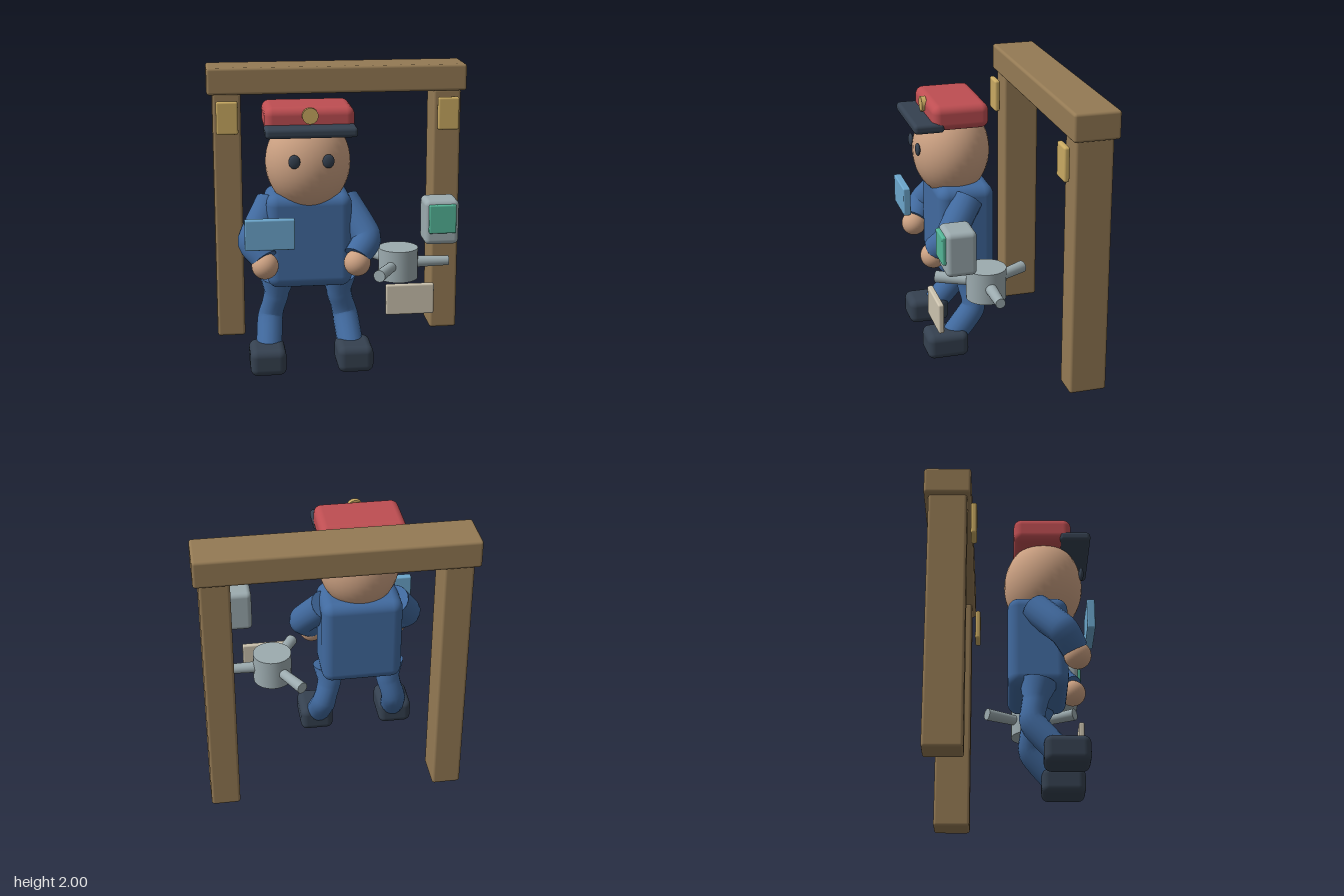
import * as THREE from 'three';
import { RoundedBoxGeometry } from 'three/addons/geometries/RoundedBoxGeometry.js';

const mat = (name, color, side = THREE.FrontSide) => {
  const m = new THREE.MeshStandardMaterial({ color, side });
  m.name = name;
  return m;
};

export function createModel() {
  const root = new THREE.Group();
  root.name = 'stationGuard';
  const wood = mat('wood', 0x947a54);
  const gold = mat('gold', 0xc9aa62);
  const red = mat('capRed', 0xbe4e52);
  const navy = mat('darkNavy', 0x354150);
  const skin = mat('skin', 0xcda283);
  const blue = mat('uniformBlue', 0x416a9f, THREE.DoubleSide);
  const sky = mat('cardBlue', 0x6ca6cc);
  const steel = mat('steel', 0x9cabaf);
  const teal = mat('screenTeal', 0x54b597);
  const paper = mat('paper', 0xcbc2ae);

  const add = (name, geo, material, x = 0, y = 0, z = 0, parent = root) => {
    const m = new THREE.Mesh(geo, material);
    m.name = name;
    m.position.set(x, y, z);
    parent.add(m);
    return m;
  };
  // Rounded box given by its bounds
  const box = (name, material, [x0, x1], [y0, y1], [z0, z1], r, parent = root) =>
    add(name, new RoundedBoxGeometry(x1 - x0, y1 - y0, z1 - z0, 4, r), material,
      (x0 + x1) / 2, (y0 + y1) / 2, (z0 + z1) / 2, parent);
  const ball = (name, material, x, y, z, rx, ry, rz, parent) =>
    add(name, new THREE.SphereGeometry(1, 32, 24), material, x, y, z, parent).scale.set(rx, ry, rz);

  // Tube whose radius follows a list of values, closed by discs
  const limb = (name, points, radii, parent) => {
    const curve = new THREE.CatmullRomCurve3(points.map(p => new THREE.Vector3(...p)), false, 'catmullrom', 0.3);
    const n = 20, sides = 16, v = new THREE.Vector3();
    const radiusAt = t => {
      const f = t * (radii.length - 1), i = Math.min(Math.floor(f), radii.length - 2);
      return THREE.MathUtils.lerp(radii[i], radii[i + 1], f - i);
    };
    const geo = new THREE.TubeGeometry(curve, n, 1, sides);
    const pos = geo.attributes.position;
    for (let i = 0; i <= n; i++) {
      const c = curve.getPointAt(i / n), r = radiusAt(i / n);
      for (let j = 0; j <= sides; j++) {
        const k = i * (sides + 1) + j;
        v.fromBufferAttribute(pos, k).sub(c).multiplyScalar(r).add(c);
        pos.setXYZ(k, v.x, v.y, v.z);
      }
    }
    add(name, geo, blue, 0, 0, 0, parent);
    for (const t of [0, 1]) {
      const c = curve.getPointAt(t), dir = curve.getTangentAt(t).multiplyScalar(t ? 1 : -1);
      const cap = add(name + 'End', new THREE.CircleGeometry(radiusAt(t), sides), blue, c.x, c.y, c.z, parent);
      cap.quaternion.setFromUnitVectors(new THREE.Vector3(0, 0, 1), dir);
    }
  };

  // Gate: two posts with plaques under a beam
  const gate = new THREE.Group();
  gate.name = 'gate';
  root.add(gate);
  box('beam', wood, [-0.925, 0.922], [1.81, 2], [-0.573, -0.257], 0.02, gate);
  for (const s of [-1, 1]) {
    const px = s * 0.787, qx = s * 0.787;
    box('post', wood, [px - 0.1, px + 0.1], [0.02, 1.82], [-0.543, -0.283], 0.02, gate);
    box('plaque', gold, [qx - 0.077, qx + 0.077], [1.535, 1.77], [-0.257, -0.217], 0.015, gate);
  }

  // Guard, built around its own centre line
  const guard = new THREE.Group();
  guard.name = 'guard';
  guard.position.x = -0.266;
  root.add(guard);
  box('torso', blue, [-0.288, 0.288], [0.585, 1.235], [-0.012, 0.39], 0.075, guard);
  ball('head', skin, 0, 1.44, 0.235, 0.287, 0.33, 0.27, guard);
  box('capCrown', red, [-0.298, 0.298], [1.66, 1.835], [0.03, 0.423], 0.055, guard);
  box('capVisor', navy, [-0.302, 0.302], [1.655, 1.722], [0.345, 0.555], 0.025, guard);
  add('capBadge', new THREE.CylinderGeometry(0.053, 0.053, 0.034, 32), gold, 0, 1.782, 0.428, guard)
    .rotation.x = Math.PI / 2;
  for (const s of [-1, 1]) {
    ball('eye', navy, s * 0.112, 1.492, 0.496, 0.039, 0.046, 0.017, guard);
    limb('arm', [[s * 0.25, 1.145, 0.18], [s * 0.385, 0.925, 0.35], [s * 0.31, 0.82, 0.43]],
      [0.108, 0.105, 0.102, 0.09], guard);
    ball('hand', skin, s * 0.31, 0.777, 0.445, 0.09, 0.09, 0.09, guard);
    limb('leg', [[s * 0.21, 0.62, 0.19], [s * 0.22, 0.48, 0.165], [s * 0.262, 0.32, 0.15], [s * 0.285, 0.12, 0.31]],
      [0.125, 0.088, 0.082, 0.09, 0.09, 0.088], guard);
    box('shoe', navy, [s * 0.298 - 0.122, s * 0.298 + 0.122], [0.005, 0.19], [0.217, 0.514], 0.05, guard);
  }

  // Card held up beside the guard
  box('card', sky, [-0.712, -0.382], [0.915, 1.122], [0.505, 0.558], 0.01);

  // Ticket reader with its screen, and a paper slip
  box('reader', steel, [0.49, 0.722], [0.9, 1.205], [0.307, 0.513], 0.035);
  box('readerScreen', teal, [0.515, 0.698], [0.985, 1.18], [0.5, 0.536], 0.01);
  box('paperSlip', paper, [0.228, 0.555], [0.425, 0.637], [0.495, 0.534], 0.012);

  // Turnstile: hub with three spokes
  const turnstile = new THREE.Group();
  turnstile.name = 'turnstile';
  turnstile.position.set(0.37, 0.68, 0.155);
  root.add(turnstile);
  add('hub', new THREE.CylinderGeometry(0.138, 0.138, 0.22, 32), steel, 0, 0, 0, turnstile);
  for (let i = 0; i < 3; i++) {
    const [tip, base] = i === 0 ? [0.034, 0.042] : [0.042, 0.034];
    const geo = new THREE.CylinderGeometry(tip, base, 0.3, 20).rotateZ(-Math.PI / 2).translate(0.207, 0, 0);
    add('spoke', geo, steel, 0, 0, 0, turnstile).rotation.y = i * Math.PI * 2 / 3;
  }
  return root;
}
